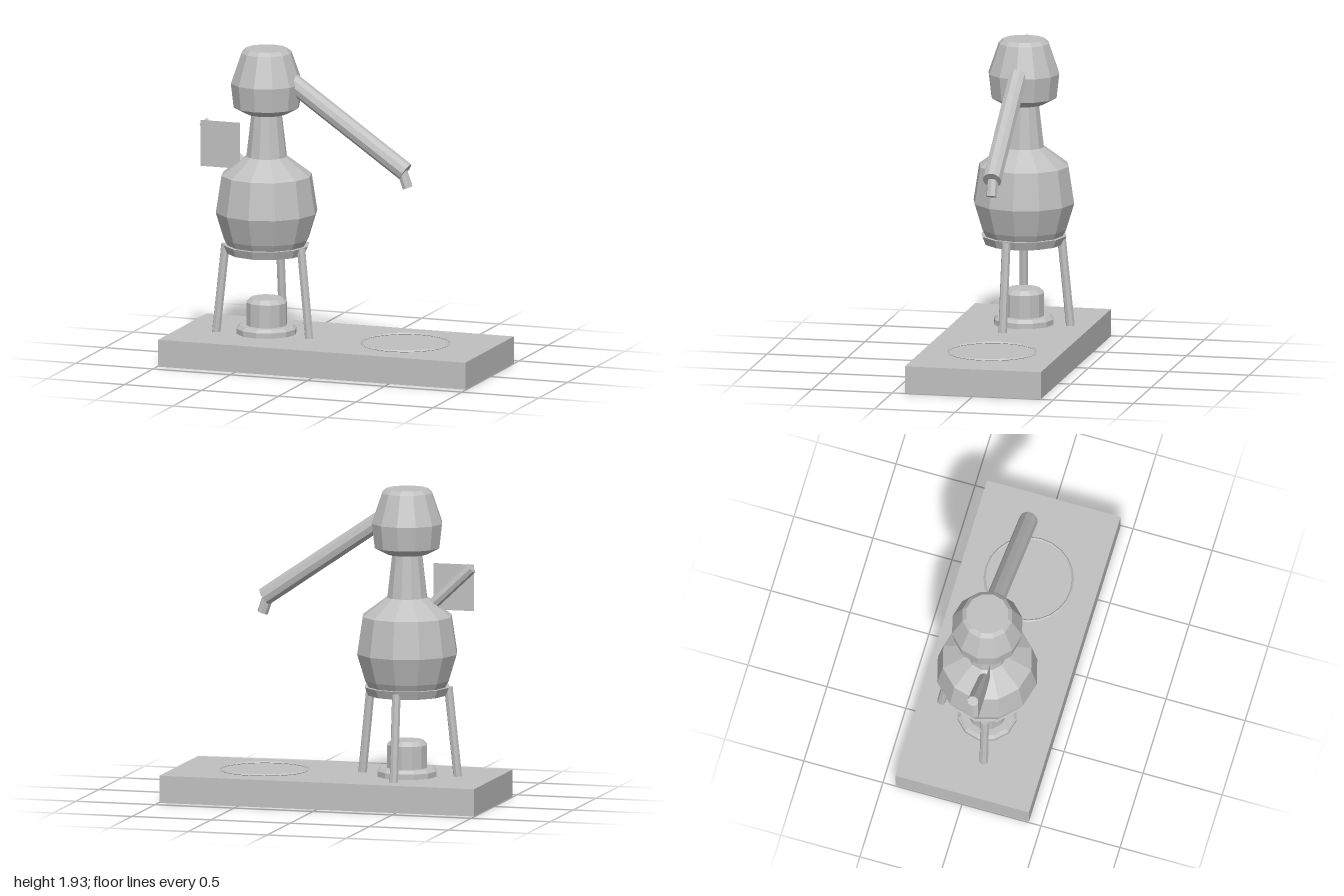
import * as THREE from 'three';

export function createModel() {
  const model = new THREE.Group();
  const grey = new THREE.MeshStandardMaterial({ color: 0xc0c0c0, flatShading: true });
  grey.name = 'plain grey';
  const greySheet = new THREE.MeshStandardMaterial({ color: 0xc0c0c0, flatShading: true, side: THREE.DoubleSide });
  greySheet.name = 'plain grey sheet';
  const stillX = -0.45, baseTop = 0.167;

  function add(name, geometry, x = 0, y = 0, z = 0, material = grey) {
    const mesh = new THREE.Mesh(geometry, material);
    mesh.name = name;
    mesh.position.set(x, y, z);
    model.add(mesh);
    return mesh;
  }

  // Faceted turned part on the axis of the still; profile runs upward as [radius, y]
  function turned(name, profile) {
    const points = profile.map(([r, y]) => new THREE.Vector2(r, y));
    return add(name, new THREE.LatheGeometry(points, 12), stillX);
  }

  // Closed rod between two points
  function rod(name, from, to, radius, sides = 8) {
    const a = new THREE.Vector3(...from), b = new THREE.Vector3(...to);
    const mesh = add(name, new THREE.CylinderGeometry(radius, radius, a.distanceTo(b), sides));
    mesh.position.copy(a).add(b).multiplyScalar(0.5);
    mesh.quaternion.setFromUnitVectors(new THREE.Vector3(0, 1, 0), b.sub(a).normalize());
    return mesh;
  }

  // Base slab and the thin ring marking the receiver's place
  add('base', new THREE.BoxGeometry(1.99, baseTop, 0.846), 0, baseTop / 2, 0);
  const ring = add('receiverRing', new THREE.TorusGeometry(0.268, 0.008, 4, 24), 0.45, baseTop + 0.003, 0);
  ring.rotation.x = -Math.PI / 2;

  // Burner
  turned('burnerFoot', [[0, baseTop], [0.185, baseTop], [0.185, 0.2], [0.165, 0.22], [0, 0.22]]);
  turned('burnerBody', [[0, 0.21], [0.125, 0.21], [0.125, 0.36], [0.098, 0.387], [0, 0.387]]);

  // Tripod
  turned('tripodRing', [[0.22, 0.667], [0.243, 0.667], [0.264, 0.718], [0.235, 0.718], [0.22, 0.667]]);
  for (const side of [-1, 1]) {
    rod('frontLeg', [stillX + side * 0.302, baseTop - 0.01, 0.066], [stillX + side * 0.245, 0.715, 0.056], 0.027);
  }
  rod('backLeg', [stillX, baseTop - 0.01, -0.29], [stillX, 0.7, -0.235], 0.027);

  // Pot, neck and head
  turned('pot', [[0, 0.69], [0.225, 0.69], [0.262, 0.757], [0.313, 0.922], [0.278, 1.15], [0.125, 1.265], [0, 1.265]]);
  turned('neck', [[0.126, 1.255], [0.09, 1.56]]);
  turned('head', [[0, 1.53], [0.125, 1.53], [0.203, 1.572], [0.22, 1.72], [0.155, 1.907], [0.13, 1.93], [0, 1.93]]);

  // Condensing arm with its bent spout
  rod('arm', [-0.33, 1.765, 0], [0.45, 1.23, 0], 0.058, 10);
  rod('spout', [0.43, 1.23, 0], [0.464, 1.132, 0], 0.034);

  // Side pipe on the pot's shoulder and the flat plate in front of it
  rod('sidePipe', [-0.58, 1.2, 0.025], [-0.85, 1.455, 0.025], 0.034);
  add('plate', new THREE.PlaneGeometry(0.255, 0.285), -0.728, 1.328, 0.06, greySheet);

  return model;
}
